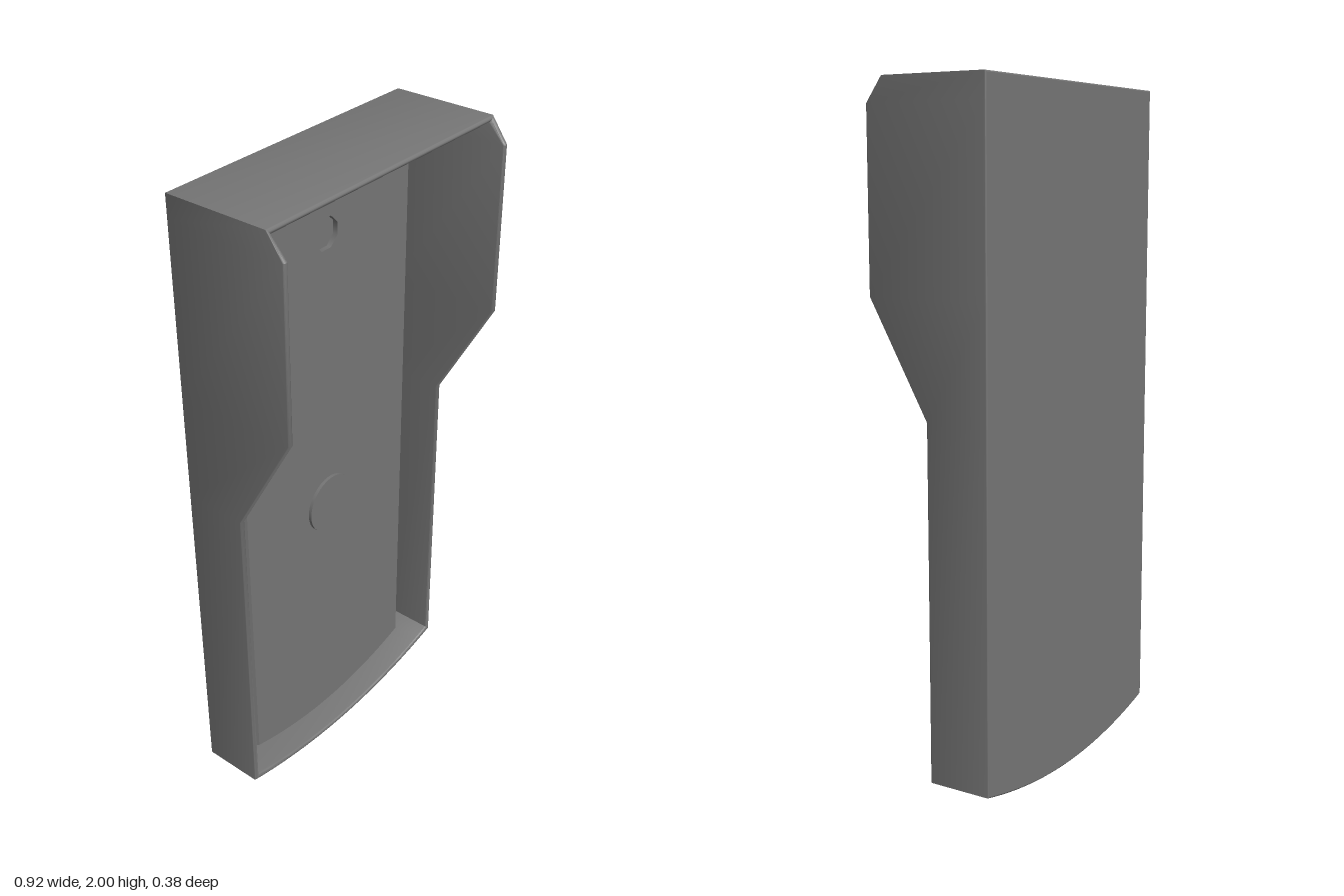
import * as THREE from 'three';
import { toCreasedNormals } from 'three/addons/utils/BufferGeometryUtils.js';

const W = 0.46, H = 2, CORNER = 0.062, BACK = -0.19, FLOOR = -0.168, DECK = -0.07;
const WALL = 0.016, SOFT = 0.004, ARC = 24;

// Outline with straight sides and top and a bowed bottom, run clockwise from the +x top corner
function outline(halfW, top, corner, low) {
  const pts = [[halfW, top]];
  for (let i = 0; i <= ARC; i++) {
    const t = 1 - (2 * i) / ARC;
    pts.push([halfW * t, low + (corner - low) * t * t]);
  }
  pts.push([-halfW, top]);
  return pts;
}

// Outer outline of the body, inset by d
const bodyOutline = (d) => outline(W - d, H - d, CORNER + d, d);

// Skin closed loops of [x, y, z] one after another
function loft(loops) {
  const pos = [], n = loops[0].length;
  for (let k = 0; k < loops.length - 1; k++) {
    for (let i = 0; i < n; i++) {
      const j = (i + 1) % n;
      const a = loops[k][i], b = loops[k + 1][i], c = loops[k + 1][j], d = loops[k][j];
      pos.push(...a, ...b, ...c, ...a, ...c, ...d);
    }
  }
  const geo = new THREE.BufferGeometry();
  geo.setAttribute('position', new THREE.Float32BufferAttribute(pos, 3));
  return toCreasedNormals(geo, 0.6);
}

const toShape = (pts) => new THREE.Shape(pts.map(([x, y]) => new THREE.Vector2(x, y)));
const atZ = (pts, z) => pts.map(([x, y]) => [x, y, z]);

// Loop of the wall, inset by d; height(rim) gives z at each station
function wallLoop(d, height) {
  const w = W - d;
  const side = [[1.93, 0.19], [1.42, 0.19], [1.09, 0.005]]; // side profile: y, rim z
  const right = side.map(([y, z]) => [w, y, height(z)]);
  const left = side.map(([y, z]) => [-w, y, height(z)]).reverse();
  const arc = atZ(bodyOutline(d).slice(1, -1), height(0.005));
  return [[w, H - d, height(0.14)], ...right, ...arc, ...left, [-w, H - d, height(0.14)]];
}

export function createModel() {
  const model = new THREE.Group();
  model.name = 'wallHolder';
  const color = 0x757575;
  const grey = new THREE.MeshStandardMaterial({ color });
  const openGrey = new THREE.MeshStandardMaterial({ color, side: THREE.DoubleSide });
  const add = (name, geo, mat = grey, x = 0, y = 0, z = 0) => {
    const mesh = new THREE.Mesh(geo, mat);
    mesh.name = name;
    mesh.position.set(x, y, z);
    model.add(mesh);
  };

  // Surrounding wall: softened back edge, round rim, straight inner face
  const wall = [];
  for (let i = 0; i <= 3; i++) {
    const a = (i / 3) * (Math.PI / 2);
    wall.push(wallLoop(SOFT * (1 - Math.sin(a)), () => BACK + SOFT * (1 - Math.cos(a))));
  }
  const r = WALL / 2;
  for (let i = 0; i <= 8; i++) {
    const a = (i / 8) * Math.PI;
    wall.push(wallLoop(r * (1 - Math.cos(a)), (z) => z - r * 0.7 * (1 - Math.sin(a))));
  }
  wall.push(wallLoop(WALL, () => FLOOR));
  add('surroundingWall', loft(wall));

  // Back and inner floor
  add('backPanel', new THREE.ShapeGeometry(toShape(bodyOutline(SOFT))).rotateY(Math.PI), grey, 0, 0, BACK);
  add('innerFloor', new THREE.ShapeGeometry(toShape(bodyOutline(WALL))), grey, 0, 0, FLOOR);

  // Raised deck with sloping edges and a faceted pocket
  const deckTop = outline(0.36, 1.92, 0.09, 0.035);
  add('deckEdge', loft([atZ(outline(0.437, 1.978, 0.076, 0.021), FLOOR), atZ(deckTop, DECK)]));
  const deckShape = toShape(deckTop);
  const pocketR = 0.05, pocketY = 1.757, pocketDepth = 0.015, sides = 8, turn = Math.PI / sides;
  const hole = [];
  for (let i = 0; i < sides; i++) {
    const a = (i / sides) * Math.PI * 2 + turn;
    hole.push(new THREE.Vector2(pocketR * Math.cos(a), pocketY + pocketR * Math.sin(a)));
  }
  deckShape.holes.push(new THREE.Path(hole));
  add('deck', new THREE.ShapeGeometry(deckShape), grey, 0, 0, DECK);

  // Pocket wall and bottom
  const pocketWall = new THREE.CylinderGeometry(pocketR, pocketR, pocketDepth, sides, 1, true, turn);
  add('pocketWall', pocketWall.rotateX(Math.PI / 2), openGrey, 0, pocketY, DECK - pocketDepth / 2);
  add('pocketBottom', new THREE.CircleGeometry(pocketR, sides, turn), grey, 0, pocketY, DECK - pocketDepth);

  // Round button
  add('button', new THREE.CylinderGeometry(0.095, 0.095, 0.02, 32).rotateX(Math.PI / 2), grey, 0, 0.862, DECK);

  return model;
}
